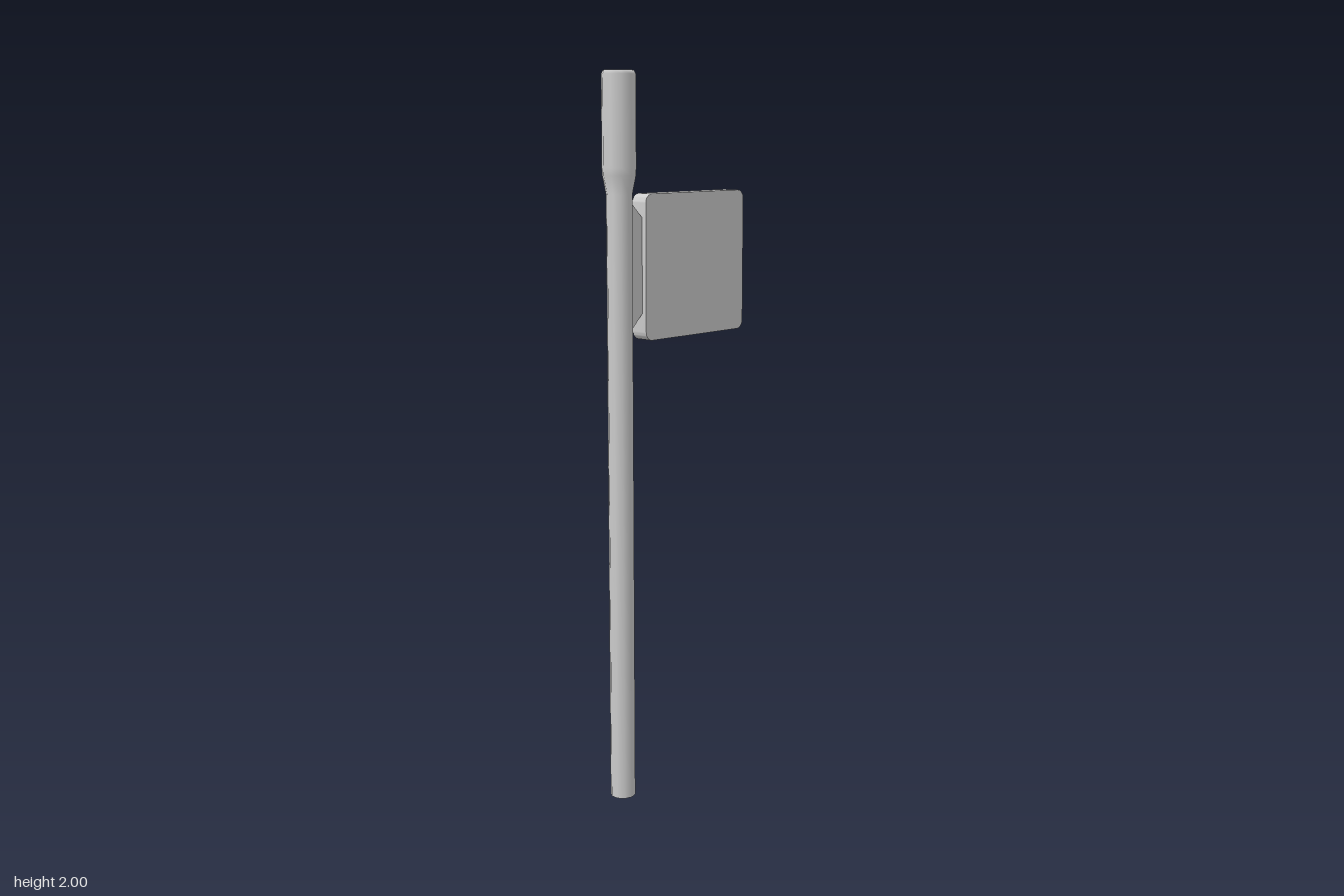
import * as THREE from 'three';
import { toCreasedNormals } from 'three/addons/utils/BufferGeometryUtils.js';

const POLE_X = -0.215;
const MID_Z = -0.002;

// Extrude a shape to a given thickness, centred on the pole's plane
function plate(name, shape, thickness, material) {
  const geometry = new THREE.ExtrudeGeometry(shape, {
    depth: thickness, bevelEnabled: false, curveSegments: 4,
  });
  geometry.translate(0, 0, MID_Z - thickness / 2);
  const mesh = new THREE.Mesh(toCreasedNormals(geometry, 0.6), material);
  mesh.name = name;
  return mesh;
}

function roundedRect(x0, y0, x1, y1, r) {
  const s = new THREE.Shape();
  s.absarc(x1 - r, y0 + r, r, -Math.PI / 2, 0);
  s.absarc(x1 - r, y1 - r, r, 0, Math.PI / 2);
  s.absarc(x0 + r, y1 - r, r, Math.PI / 2, Math.PI);
  s.absarc(x0 + r, y0 + r, r, Math.PI, Math.PI * 1.5);
  s.closePath();
  return s;
}

export function createModel() {
  const group = new THREE.Group();
  group.name = 'signPost';
  const material = new THREE.MeshStandardMaterial({ color: 0xcccccc });
  const openMaterial = material.clone();
  openMaterial.side = THREE.DoubleSide;

  // Ten-sided pole, open at the foot, flaring into a thicker head
  const profile = [
    [0.035, 0], [0.035, 1.68], [0.045, 1.73], [0.046, 1.75],
    [0.046, 1.99], [0.041, 2], [0, 2],
  ].map(([r, y]) => new THREE.Vector2(r, y));
  const pole = new THREE.Mesh(new THREE.LatheGeometry(profile, 10), openMaterial);
  pole.name = 'pole';
  pole.position.set(POLE_X, 0, MID_Z);
  group.add(pole);

  // Tapered bracket, widest against the pole
  const bracketShape = new THREE.Shape([
    [-0.2, 1.3], [-0.135, 1.365], [-0.135, 1.612], [-0.2, 1.677],
  ].map(([x, y]) => new THREE.Vector2(x, y)));
  group.add(plate('bracket', bracketShape, 0.022, material));

  // Flat sign panel with rounded corners
  group.add(plate('signPanel', roundedRect(-0.14, 1.286, 0.258, 1.68, 0.024), 0.05, material));

  return group;
}
